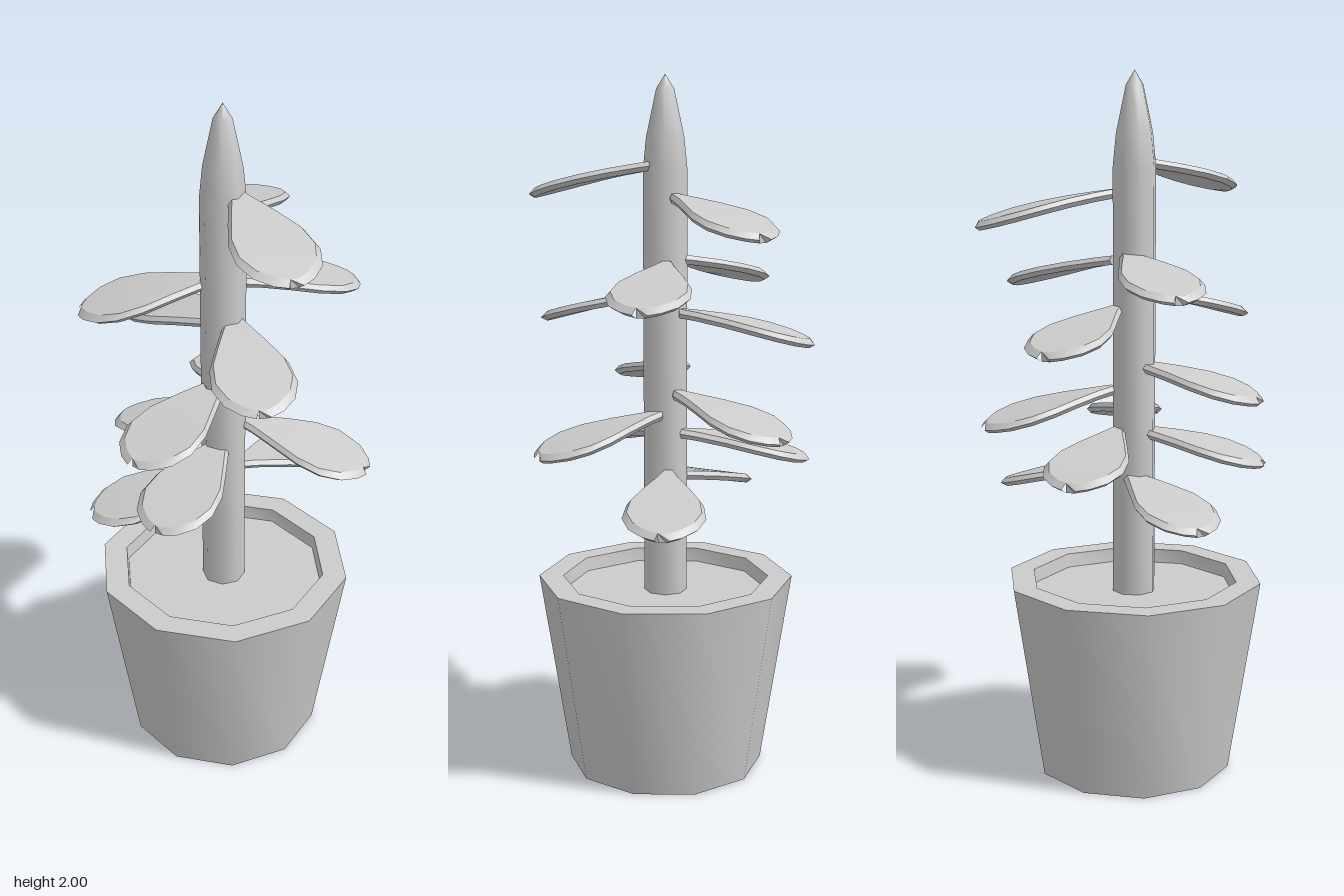
import * as THREE from 'three';
import { toCreasedNormals } from 'three/addons/utils/BufferGeometryUtils.js';

const material = new THREE.MeshStandardMaterial({ color: 0xcccccc });

function addMesh(parent, name, geometry, crease) {
  const mesh = new THREE.Mesh(toCreasedNormals(geometry, crease), material);
  mesh.name = name;
  parent.add(mesh);
  return mesh;
}

// Revolve [radius, height] points, with a corner pointing along x
function lathe(points, sides) {
  const profile = points.map(([r, y]) => new THREE.Vector2(r, y));
  return new THREE.LatheGeometry(profile, sides, Math.PI / 2);
}

// Half outline of a leaf: [distance from the stem axis, half width]
const outline = [
  [0.03, 0.02], [0.08, 0.04], [0.16, 0.075], [0.235, 0.106],
  [0.305, 0.114], [0.36, 0.093], [0.395, 0.055], [0.41, 0.02],
];

// Thick drooping leaf along +x: six-sided cross-sections with bevelled edges
function leafGeometry() {
  const half = 0.013, inset = 0.012;
  const position = [], index = [];
  for (const [r, w] of outline) {
    const section = [[1, 1], [0, 1], [-1, 1], [-1, -1], [0, -1], [1, -1]];
    for (const [level, side] of section) {
      const x = level === 0 ? r : r * (1 - inset / 0.41);
      const z = side * (level === 0 ? w : w - Math.min(inset, w * 0.4));
      const d = x - 0.06;
      position.push(x, level * half - 0.15 * d - 0.25 * d * d, z);
    }
  }
  const n = 6, last = (outline.length - 1) * n;
  for (let s = 0; s < last; s += n) {
    for (let k = 0; k < n; k++) {
      const a = s + k, b = s + (k + 1) % n;
      index.push(a, b, a + n, b, b + n, a + n);
    }
  }
  for (let k = 1; k < n - 1; k++) {
    index.push(0, k + 1, k, last, last + k, last + k + 1);
  }
  const geometry = new THREE.BufferGeometry();
  geometry.setAttribute('position', new THREE.Float32BufferAttribute(position, 3));
  // Corners run clockwise seen from outside, so flip them
  for (let i = 0; i < index.length; i += 3) {
    if (!facesOut(position, index, i)) [index[i + 1], index[i + 2]] = [index[i + 2], index[i + 1]];
  }
  geometry.setIndex(index);
  return geometry;
}

// True when a triangle faces away from the middle line of the leaf
function facesOut(position, index, i) {
  const [a, b, c] = [0, 1, 2].map(k => new THREE.Vector3().fromArray(position, index[i + k] * 3));
  const centre = a.clone().add(b).add(c).divideScalar(3);
  const x = THREE.MathUtils.clamp(centre.x, 0.06, 0.38), d = x - 0.06;
  const normal = b.sub(a).cross(c.sub(a));
  return normal.dot(centre.sub(new THREE.Vector3(x, -0.15 * d - 0.25 * d * d, 0))) > 0;
}

export function createModel() {
  const model = new THREE.Group();
  model.name = 'pottedPlant';

  // Ten-sided pot with a rim
  const base = new THREE.Group();
  base.name = 'potAndStem';
  base.position.set(0.01, 0, 0.033);
  model.add(base);
  addMesh(base, 'pot', lathe([[0, 0], [0.283, 0], [0.37, 0.565], [0.3, 0.565], [0.295, 0.525]], 10), 0.8);
  addMesh(base, 'soil', lathe([[0.296, 0.525], [0, 0.525]], 10), 0.8);

  // Eight-sided stem with a pointed tip
  addMesh(base, 'stem', lathe([
    [0.062, 0.52], [0.062, 1.74], [0.053, 1.83], [0.025, 1.96], [0, 2],
  ], 8), 0.9);

  // Leaves: [turn in degrees from +x towards +z, height at the stem]
  const leaves = [
    [18, 1.75], [-128, 1.66], [128, 1.49], [-80, 1.475], [29, 1.39],
    [180, 1.34], [80, 1.185], [-140, 1.11], [-29, 1.05], [170, 0.995],
    [70, 0.995], [118, 0.865], [-88, 0.88],
  ];
  const leafShape = leafGeometry();
  leaves.forEach(([turn, height], i) => {
    const leaf = addMesh(model, `leaf${i + 1}`, leafShape, 0.5);
    leaf.position.y = height;
    leaf.rotation.y = -THREE.MathUtils.degToRad(turn);
  });
  return model;
}
